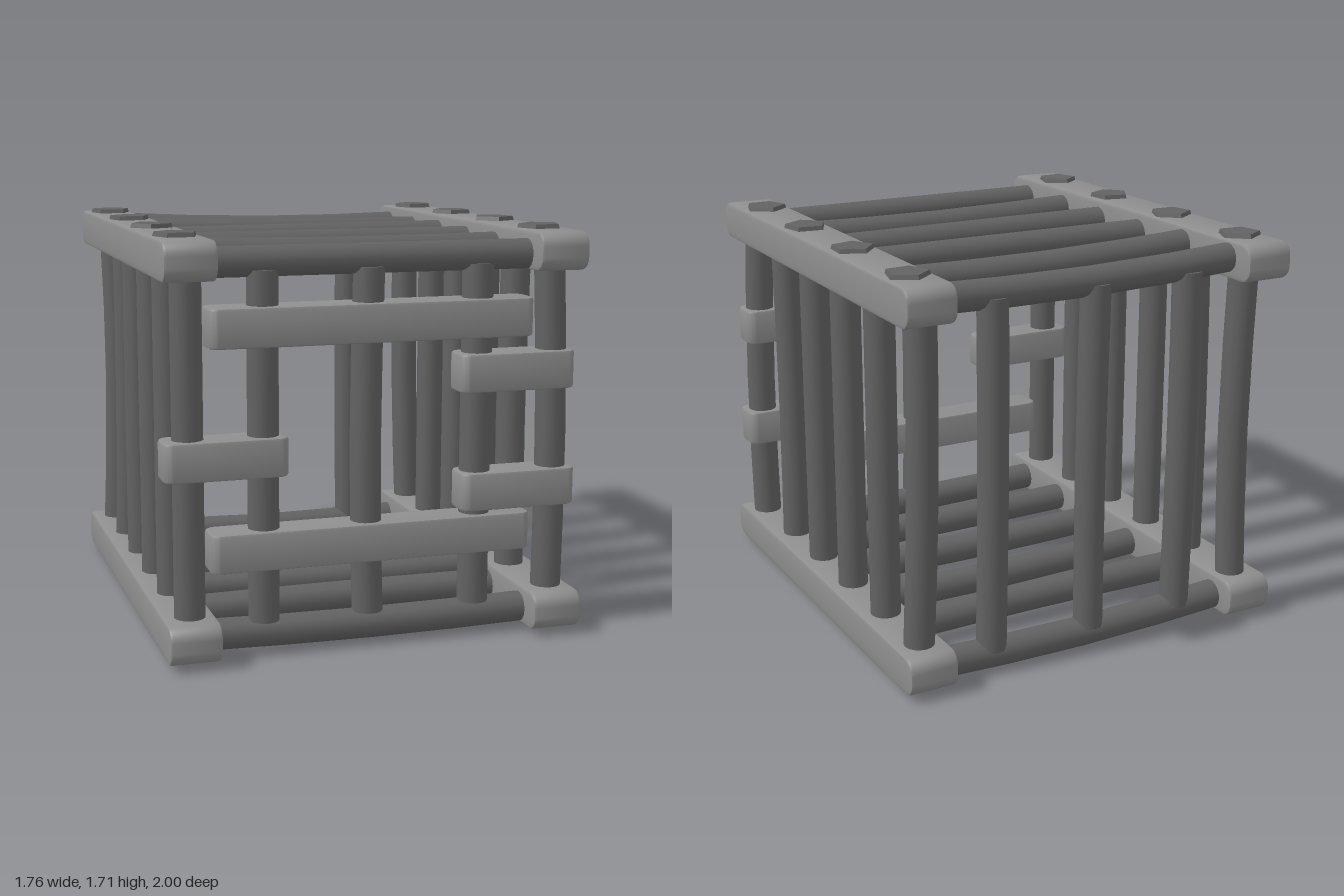
import * as THREE from 'three';
import { toCreasedNormals } from 'three/addons/utils/BufferGeometryUtils.js';

const V = (x, y, z) => new THREE.Vector3(x, y, z);

// Round bar between two points, bowed sideways by the vector "bow" at mid length
function barGeometry(from, to, radius, bow) {
  const axis = to.clone().sub(from);
  const length = axis.length();
  const geo = new THREE.CylinderGeometry(radius, radius, length, 16, 4);
  geo.applyQuaternion(new THREE.Quaternion().setFromUnitVectors(V(0, 1, 0), axis.clone().normalize()));
  const mid = from.clone().add(to).multiplyScalar(0.5);
  geo.translate(mid.x, mid.y, mid.z);
  const pos = geo.attributes.position;
  const p = V(0, 0, 0);
  for (let i = 0; i < pos.count; i++) {
    p.fromBufferAttribute(pos, i);
    const t = p.clone().sub(from).dot(axis) / (length * length);
    p.addScaledVector(bow, Math.sin(Math.PI * t));
    pos.setXYZ(i, p.x, p.y, p.z);
  }
  return geo;
}

// Plank with rounded ends (length x thickness outline), extruded across its width
function plankGeometry(length, thickness, width, radius) {
  const b = 0.012;
  const x = length / 2 - b, y = thickness / 2 - b, r = radius - b;
  const s = new THREE.Shape();
  s.moveTo(-x + r, -y);
  s.lineTo(x - r, -y);
  s.absarc(x - r, -y + r, r, -Math.PI / 2, 0);
  s.lineTo(x, y - r);
  s.absarc(x - r, y - r, r, 0, Math.PI / 2);
  s.lineTo(-x + r, y);
  s.absarc(-x + r, y - r, r, Math.PI / 2, Math.PI);
  s.lineTo(-x, -y + r);
  s.absarc(-x + r, -y + r, r, Math.PI, Math.PI * 1.5);
  const geo = new THREE.ExtrudeGeometry(s, {
    depth: width - 2 * b, bevelEnabled: true, bevelSize: b, bevelThickness: b, bevelSegments: 2, curveSegments: 5,
  });
  geo.translate(0, 0, -width / 2 + b);
  return toCreasedNormals(geo, 0.6);
}

export function createModel() {
  const root = new THREE.Group();
  root.name = 'cage';
  const light = new THREE.MeshStandardMaterial({ color: 0x8e8e8e });
  light.name = 'light grey';
  const dark = new THREE.MeshStandardMaterial({ color: 0x626262 });
  dark.name = 'dark grey';

  const add = (name, geo, mat) => {
    const mesh = new THREE.Mesh(geo, mat);
    mesh.name = name;
    root.add(mesh);
    return mesh;
  };
  const bar = (name, from, to, bow = V(0, 0, 0), r = 0.064) => add(name, barGeometry(from, to, r, bow), dark);

  // Four long rails
  for (const side of [-1, 1]) {
    for (const [name, y, z] of [['topRail', 1.622, -0.008], ['bottomRail', 0.11, 0.008]]) {
      const geo = plankGeometry(1.984, 0.16, 0.212, 0.058);
      geo.rotateY(Math.PI / 2);
      add(name, geo, light).position.set(side * 0.775, y, z);
    }
  }

  // Five-sided bolt heads on the top rails: z and clockwise turn in degrees
  const bolts = {
    '-1': [[-0.78, 5], [-0.275, 4], [0.23, -24], [0.72, -2]],
    '1': [[-0.78, -4], [-0.27, -14], [0.23, -30], [0.72, -2]],
  };
  for (const side of [-1, 1]) {
    for (const [z, turn] of bolts[side]) {
      const geo = toCreasedNormals(new THREE.CylinderGeometry(0.088, 0.1, 0.04, 5), 0.3);
      const bolt = add('boltHead', geo, dark);
      bolt.position.set(side * 0.775, 1.7, z);
      bolt.rotation.y = Math.PI - THREE.MathUtils.degToRad(turn);
    }
  }

  // Roof bars: z, height at left and right ends, bow in y, bow in z
  const roof = [
    [-0.845, 1.635, 1.615, -0.02, 0], [-0.515, 1.63, 1.61, -0.01, -0.025], [-0.17, 1.61, 1.615, 0, 0],
    [0.165, 1.61, 1.61, 0, 0], [0.495, 1.615, 1.61, -0.01, -0.016], [0.835, 1.607, 1.607, 0, 0],
  ];
  for (const [z, y0, y1, by, bz] of roof) bar('roofBar', V(-0.75, y0, z), V(0.75, y1, z), V(0, by, bz), 0.062);

  // Floor bars
  const floor = [
    [-0.84, 0.1, 0.085, -0.022, 0], [-0.5, 0.1, 0.1, 0, 0.015], [-0.165, 0.1, 0.09, -0.018, 0],
    [0.17, 0.1, 0.095, -0.012, 0], [0.5, 0.1, 0.1, 0, -0.015], [0.835, 0.105, 0.1, -0.012, 0],
  ];
  for (const [z, y0, y1, by, bz] of floor) bar('floorBar', V(-0.75, y0, z), V(0.75, y1, z), V(0, by, bz));

  // Side bars: bottom z, top z, bottom x, top x, bow in x, bow in z
  const sides = {
    '1': [
      [0.845, 0.845, 0.785, 0.765, 0.015, 0], [0.5, 0.505, 0.77, 0.77, 0, -0.02],
      [0.17, 0.17, 0.77, 0.77, 0, 0], [-0.165, -0.165, 0.77, 0.77, 0, 0],
      [-0.505, -0.505, 0.77, 0.77, 0, 0], [-0.83, -0.86, 0.775, 0.76, -0.008, -0.01],
    ],
    '-1': [
      [0.845, 0.845, -0.77, -0.77, 0, 0], [0.5, 0.5, -0.77, -0.77, 0, 0],
      [0.17, 0.17, -0.77, -0.77, 0, 0], [-0.165, -0.165, -0.77, -0.77, 0, 0],
      [-0.505, -0.505, -0.77, -0.755, 0.015, -0.03], [-0.84, -0.85, -0.77, -0.755, 0.02, 0],
    ],
  };
  for (const side of [-1, 1]) {
    for (const [z0, z1, x0, x1, bx, bz] of sides[side]) {
      bar('sideBar', V(x0, 0.1, z0), V(x1, 1.62, z1), V(bx, 0, bz));
    }
  }

  // Upright bars of the front and back
  for (const [x, bow] of [[-0.462, 0], [-0.02, -0.012], [0.448, 0]]) {
    bar('frontBar', V(x, 0.15, 0.845), V(x, 1.575, 0.845), V(bow, 0, 0));
    bar('backBar', V(x, 0.1, -0.845), V(x, 1.6, -0.855), V(-bow, 0, -0.01));
  }

  // Cross slats on the front: centre x, centre y, length
  const slats = [
    [-0.01, 1.355, 1.37], [-0.01, 0.455, 1.37],
    [-0.625, 0.835, 0.51], [0.61, 1.13, 0.51], [0.622, 0.633, 0.51],
  ];
  for (const [x, y, length] of slats) {
    const geo = plankGeometry(length, 0.163, 0.16, 0.045);
    geo.rotateX(-Math.PI / 2);
    add('frontSlat', geo, light).position.set(x, y, 0.847);
  }

  return root;
}
